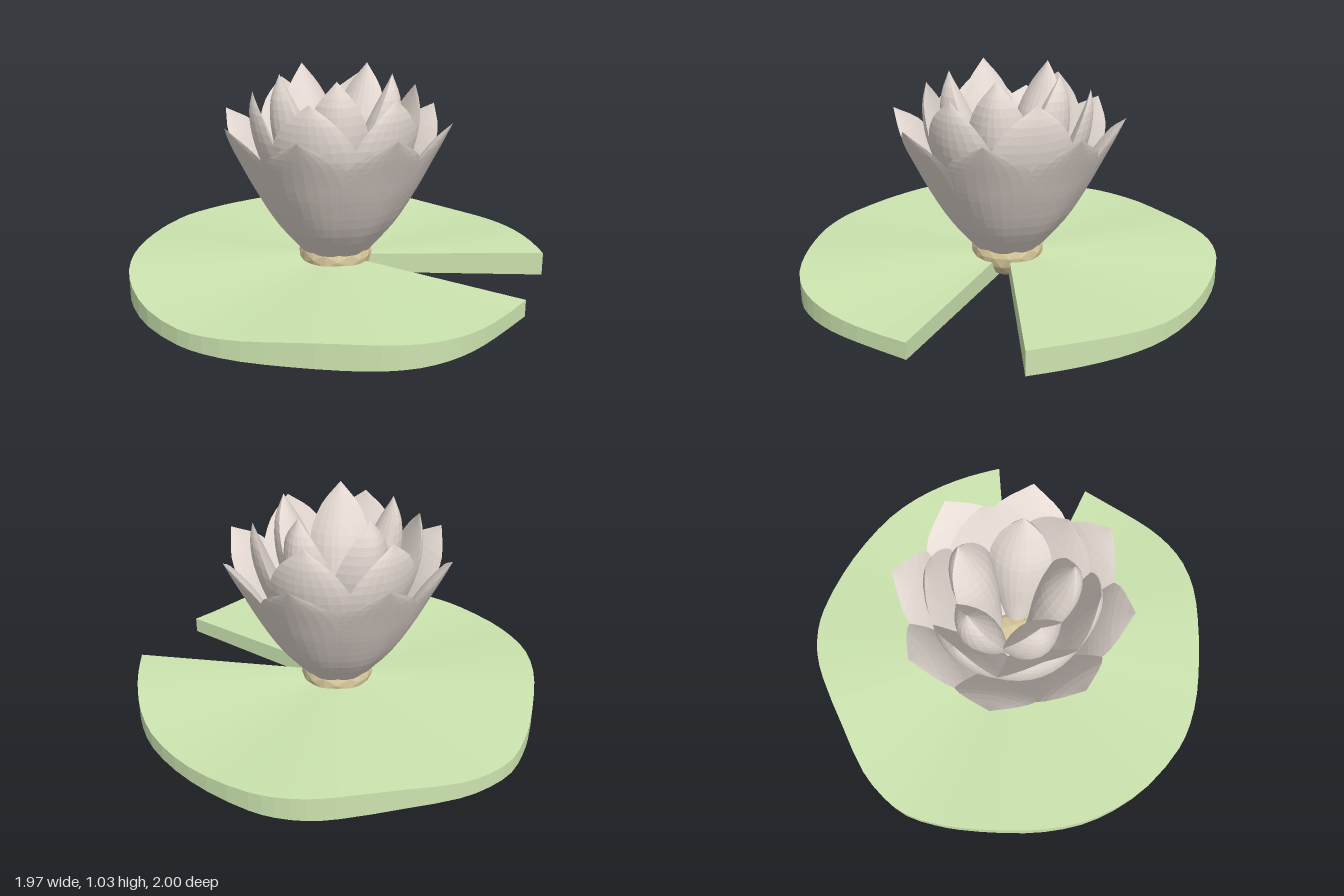
import * as THREE from 'three';

const CENTRE = new THREE.Vector3(0.003, 0, 0.012);

const material = (name, color) => {
  const m = new THREE.MeshStandardMaterial({ color, flatShading: true });
  m.name = name;
  return m;
};

function buildGeometry(positions, index) {
  const g = new THREE.BufferGeometry();
  g.setAttribute('position', new THREE.Float32BufferAttribute(positions, 3));
  g.setIndex(index);
  g.computeVertexNormals();
  return g;
}

// Leaf: a notched disc with a flat underside and a gently rippled rim
function padGeometry() {
  const outline = [
    [0.985, -0.24], [0.91, -0.39], [0.825, -0.53], [0.725, -0.66], [0.6, -0.775], [0.42, -0.88],
    [0.22, -0.955], [0, -1], [-0.12, -1], [-0.25, -0.97], [-0.37, -0.91], [-0.6, -0.75],
    [-0.8, -0.6], [-0.9, -0.48], [-0.965, -0.35], [-0.985, -0.2], [-0.985, -0.08], [-0.96, 0.15],
    [-0.92, 0.34], [-0.85, 0.52], [-0.75, 0.67], [-0.6, 0.82], [-0.4, 0.94], [-0.27, 0.98],
    [-0.1, 0.995], [0.1, 0.98], [0.3, 0.95], [0.46, 0.91], [0.6, 0.84], [0.7, 0.75],
    [0.78, 0.64], [0.85, 0.5], [0.95, 0.255],
  ];
  const rim = new THREE.CatmullRomCurve3(outline.map(([x, z]) => new THREE.Vector3(x, 0, z))).getPoints(64);
  const loop = [CENTRE, ...rim];
  const positions = [];
  loop.forEach((p, i) => {
    const angle = Math.atan2(p.z, p.x);
    const top = i === 0 ? 0.12 : 0.12 + 0.02 * Math.cos(4 * (angle - 1.22));
    positions.push(p.x, top, p.z, p.x, 0.025, p.z);
  });
  const index = [];
  loop.forEach((_, i) => {
    const j = (i + 1) % loop.length;
    const [pt, pb, qt, qb] = [2 * i, 2 * i + 1, 2 * j, 2 * j + 1];
    index.push(pb, qb, qt, pb, qt, pt); // edge wall
    if (i > 0 && j > 0) index.push(0, pt, qt, 1, qb, pb); // top and underside
  });
  return buildGeometry(positions, index);
}

// Petal: closed leaf shape along a midrib of [radius, height, half width];
// cup is the bulge of the outer face, back the bulge of the inner face
function petalGeometry(midrib, cup, back) {
  const rows = 16, cols = 8, ring = 2 * cols;
  const curve = new THREE.CatmullRomCurve3(midrib.map((p) => new THREE.Vector3(...p)));
  const positions = [], index = [];
  for (let i = 0; i <= rows; i++) {
    const t = i / rows;
    const { x: r, y, z: w } = curve.getPoint(t);
    const depth = cup * (1.3 - 0.6 * t);
    for (let j = 0; j < ring; j++) {
      const outer = j <= cols;
      const u = outer ? (2 * j) / cols - 1 : 3 - (2 * j) / cols;
      const inset = outer ? depth * u * u : depth + back * (1 - u * u);
      positions.push(r - w * inset, y, w * u);
      if (i < rows) {
        const a = i * ring + j, b = i * ring + ((j + 1) % ring);
        index.push(a, a + ring, b);
        if (i < rows - 1) index.push(a + ring, b + ring, b);
      }
    }
  }
  return buildGeometry(positions, index);
}

export function createModel() {
  const model = new THREE.Group();
  model.name = 'waterLily';
  const green = material('leafGreen', 0xcde5b0);
  const pale = material('petalPale', 0xe8ddd6);
  const tan = material('centreTan', 0xdecfa0);

  const pad = new THREE.Mesh(padGeometry(), green);
  pad.name = 'lilyPad';
  model.add(pad);

  const flower = new THREE.Group();
  flower.name = 'flower';
  flower.position.copy(CENTRE);
  model.add(flower);

  // Flower base, poking through the leaf
  const base = new THREE.Mesh(new THREE.IcosahedronGeometry(1, 2), tan);
  base.name = 'flowerBase';
  base.scale.set(0.178, 0.14, 0.178);
  base.position.y = 0.142;
  flower.add(base);

  // Three rings of petals, each steeper and taller than the one outside it
  const rings = [
    { name: 'outerPetal', count: 8, start: 0, cup: 0.28, back: 0.1, midrib: [
      [0.16, 0.155, 0.06], [0.295, 0.32, 0.14], [0.395, 0.49, 0.19],
      [0.46, 0.62, 0.205], [0.51, 0.72, 0.16], [0.557, 0.82, 0]] },
    { name: 'middlePetal', count: 6, start: Math.PI / 2, cup: 0.36, back: 0.1, midrib: [
      [0.12, 0.19, 0.07], [0.24, 0.38, 0.15], [0.335, 0.56, 0.2],
      [0.39, 0.72, 0.2], [0.405, 0.85, 0.125], [0.39, 0.95, 0]] },
    { name: 'innerPetal', count: 5, start: 0, cup: 0.75, back: 0.45, midrib: [
      [0.1, 0.21, 0.03], [0.2, 0.4, 0.09], [0.27, 0.6, 0.135],
      [0.31, 0.77, 0.145], [0.31, 0.91, 0.095], [0.27, 1.03, 0]] },
  ];
  for (const { name, count, start, cup, back, midrib } of rings) {
    const geometry = petalGeometry(midrib, cup, back);
    for (let k = 0; k < count; k++) {
      const petal = new THREE.Mesh(geometry, pale);
      petal.name = name;
      petal.rotation.y = -(start + (k * 2 * Math.PI) / count);
      flower.add(petal);
    }
  }
  return model;
}
